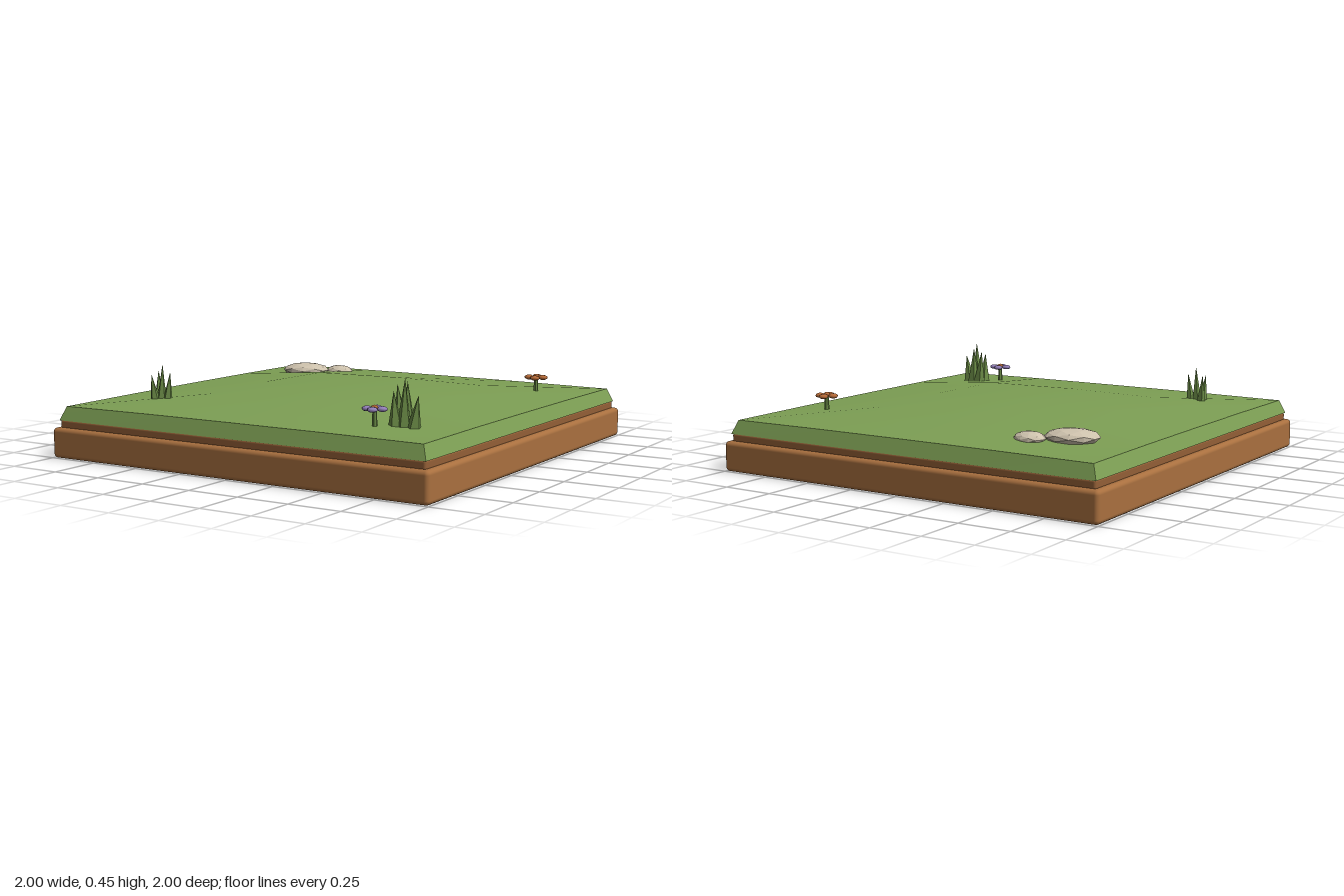
import * as THREE from 'three';
import { RoundedBoxGeometry } from 'three/addons/geometries/RoundedBoxGeometry.js';

const mat = (name, color, flatShading = false) => {
  const m = new THREE.MeshStandardMaterial({ color, flatShading });
  m.name = name;
  return m;
};

// Height of the gently domed lawn
const rise = (v) => {
  const a = Math.abs(v);
  return a < 0.475 ? 1 - 0.15 * a / 0.475 : 0.85 - 0.77 * (a - 0.475) / 0.475;
};
const ground = (x, z) => 0.24 + 0.053 * rise(x) * rise(z);

export function createModel() {
  const root = new THREE.Group();
  const soil = mat('soil brown', 0xa9703f);
  const soilDark = mat('dark soil', 0x935f36);
  const grass = mat('grass green', 0x7d9f54);
  const blade = mat('blade green', 0x6a8a46, true);
  const stone = mat('stone beige', 0xcfc3ae, true);
  const purple = mat('petal purple', 0x937fb8);
  const orange = mat('petal orange', 0xb56a38);

  const add = (parent, name, geo, material, x = 0, y = 0, z = 0) => {
    const m = new THREE.Mesh(geo, material);
    m.name = name;
    m.position.set(x, y, z);
    parent.add(m);
    return m;
  };

  // Soil layers
  add(root, 'soilBase', new RoundedBoxGeometry(2, 0.143, 2, 2, 0.02), soil, 0, 0.0715, 0);
  add(root, 'soilLayer', new RoundedBoxGeometry(1.945, 0.045, 1.945, 2, 0.012), soilDark, 0, 0.158, 0);

  // Grass slab: tapered sides, domed top
  const slab = new THREE.BoxGeometry(1.9, 1, 1.9, 4, 1, 4);
  const p = slab.attributes.position;
  for (let i = 0; i < p.count; i++) {
    const x = p.getX(i), z = p.getZ(i);
    if (p.getY(i) > 0) p.setY(i, ground(x, z));
    else p.setXYZ(i, x * 0.975 / 0.95, 0.176, z * 0.975 / 0.95);
  }
  slab.computeVertexNormals();
  add(root, 'grassTop', slab, grass);

  // Flattened stones
  const stones = [
    [-0.655, 0.268, -0.615, 0.125, 0.038, 0.09, 0.35],
    [-0.5, 0.262, -0.71, 0.075, 0.03, 0.064, -0.2],
  ];
  for (const [x, y, z, sx, sy, sz, turn] of stones) {
    const s = add(root, 'stone', new THREE.IcosahedronGeometry(1, 1), stone, x, y, z);
    s.scale.set(sx, sy, sz);
    s.rotation.y = turn;
  }

  // Grass tufts: each blade runs from a foot to a tip
  const tuft = (name, radius, blades) => {
    const g = new THREE.Group();
    g.name = name;
    for (const [fx, fz, tx, ty, tz] of blades) {
      const foot = new THREE.Vector3(fx, 0.238, fz);
      const dir = new THREE.Vector3(tx, ty, tz).sub(foot);
      const len = dir.length();
      const geo = new THREE.ConeGeometry(radius, len, 5).translate(0, len / 2, 0);
      const m = add(g, 'grassBlade', geo, blade, fx, 0.238, fz);
      m.quaternion.setFromUnitVectors(new THREE.Vector3(0, 1, 0), dir.normalize());
    }
    root.add(g);
  };
  tuft('rightFrontTuft', 0.026, [
    [-0.645, 0.63, -0.637, 0.425, 0.63],
    [-0.675, 0.61, -0.69, 0.39, 0.595],
    [-0.665, 0.65, -0.672, 0.38, 0.67],
    [-0.615, 0.625, -0.6, 0.39, 0.62],
  ]);
  tuft('leftFrontTuft', 0.034, [
    [0.69, 0.655, 0.7, 0.455, 0.665],
    [0.65, 0.61, 0.625, 0.42, 0.6],
    [0.685, 0.61, 0.68, 0.435, 0.608],
    [0.655, 0.665, 0.65, 0.4, 0.675],
    [0.735, 0.65, 0.76, 0.385, 0.655],
  ]);

  // Four-petalled flowers
  const flower = (name, x, z, petal, turn) => {
    const g = new THREE.Group();
    g.name = name;
    g.position.set(x, 0, z);
    g.rotation.y = turn;
    const y0 = ground(x, z) - 0.01;
    add(g, 'stem', new THREE.CylinderGeometry(0.01, 0.012, 0.325 - y0, 6), blade, 0, (0.325 + y0) / 2, 0);
    for (let i = 0; i < 4; i++) {
      const a = i * Math.PI / 2;
      const m = add(g, 'petal', new THREE.SphereGeometry(0.024, 8, 6), petal,
        0.034 * Math.cos(a), 0.325, 0.034 * Math.sin(a));
      m.scale.y = 0.5;
    }
    add(g, 'flowerCentre', new THREE.SphereGeometry(0.017, 8, 6), orange, 0, 0.33, 0).scale.y = 0.7;
    root.add(g);
  };
  flower('purpleFlower', 0.59, 0.73, purple, 0.25);
  flower('orangeFlower', 0.73, -0.575, orange, 0.25);

  return root;
}
